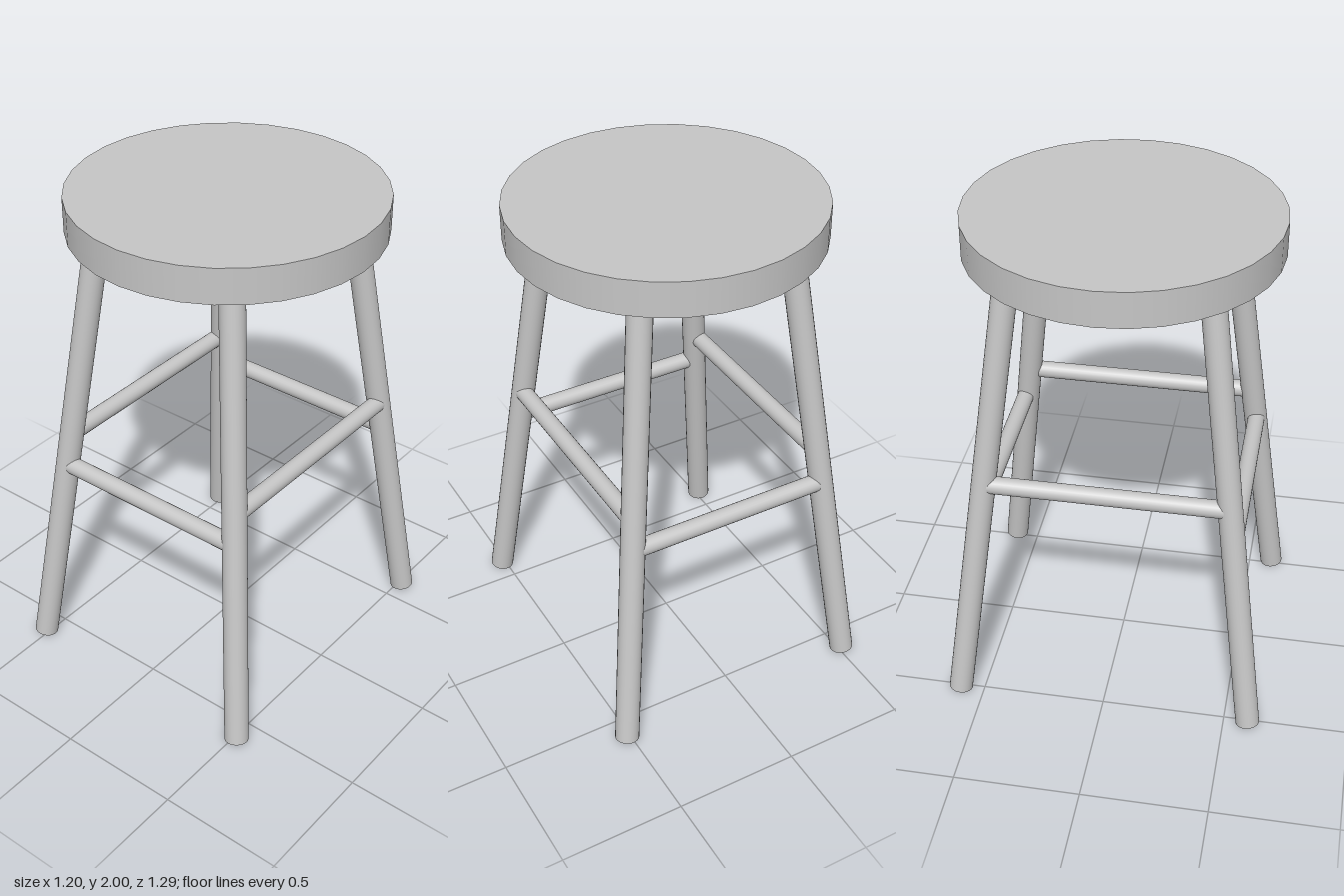
import * as THREE from 'three';

const LEG_RADIUS = 0.048;
const RUNG_RADIUS = 0.035;

// Round rod between two points
function rod(name, from, to, radius, material) {
  const direction = to.clone().sub(from);
  const mesh = new THREE.Mesh(
    new THREE.CylinderGeometry(radius, radius, direction.length(), 24), material);
  mesh.name = name;
  mesh.position.copy(from).add(to).multiplyScalar(0.5);
  mesh.quaternion.setFromUnitVectors(new THREE.Vector3(0, 1, 0), direction.normalize());
  return mesh;
}

export function createModel() {
  const stool = new THREE.Group();
  stool.name = 'stool';
  const grey = new THREE.MeshStandardMaterial({ color: 0xc6c6c6 });
  grey.name = 'grey';
  const v = (x, y, z) => new THREE.Vector3(x, y, z);

  // Thick round seat
  const seat = new THREE.Mesh(new THREE.CylinderGeometry(0.6, 0.6, 0.14, 32), grey);
  seat.name = 'seat';
  seat.position.y = 1.93;
  stool.add(seat);

  // Four splayed legs, let into the seat
  for (const [sx, side] of [[1, 'Left'], [-1, 'Right']]) {
    for (const [sz, end] of [[1, 'front'], [-1, 'back']]) {
      stool.add(rod(`${end}${side}Leg`,
        v(0.515 * sx, 0.008, 0.597 * sz), v(0.306 * sx, 1.9, 0.364 * sz), LEG_RADIUS, grey));
    }
  }

  // Lower rungs at front and back, higher rungs at the sides
  for (const [s, end, side] of [[1, 'front', 'left'], [-1, 'back', 'right']]) {
    stool.add(rod(`${end}Rung`,
      v(-0.42, 0.87, 0.497 * s), v(0.42, 0.87, 0.497 * s), RUNG_RADIUS, grey));
    stool.add(rod(`${side}Rung`,
      v(0.414 * s, 1.0, -0.475), v(0.414 * s, 1.0, 0.475), RUNG_RADIUS, grey));
  }

  return stool;
}
